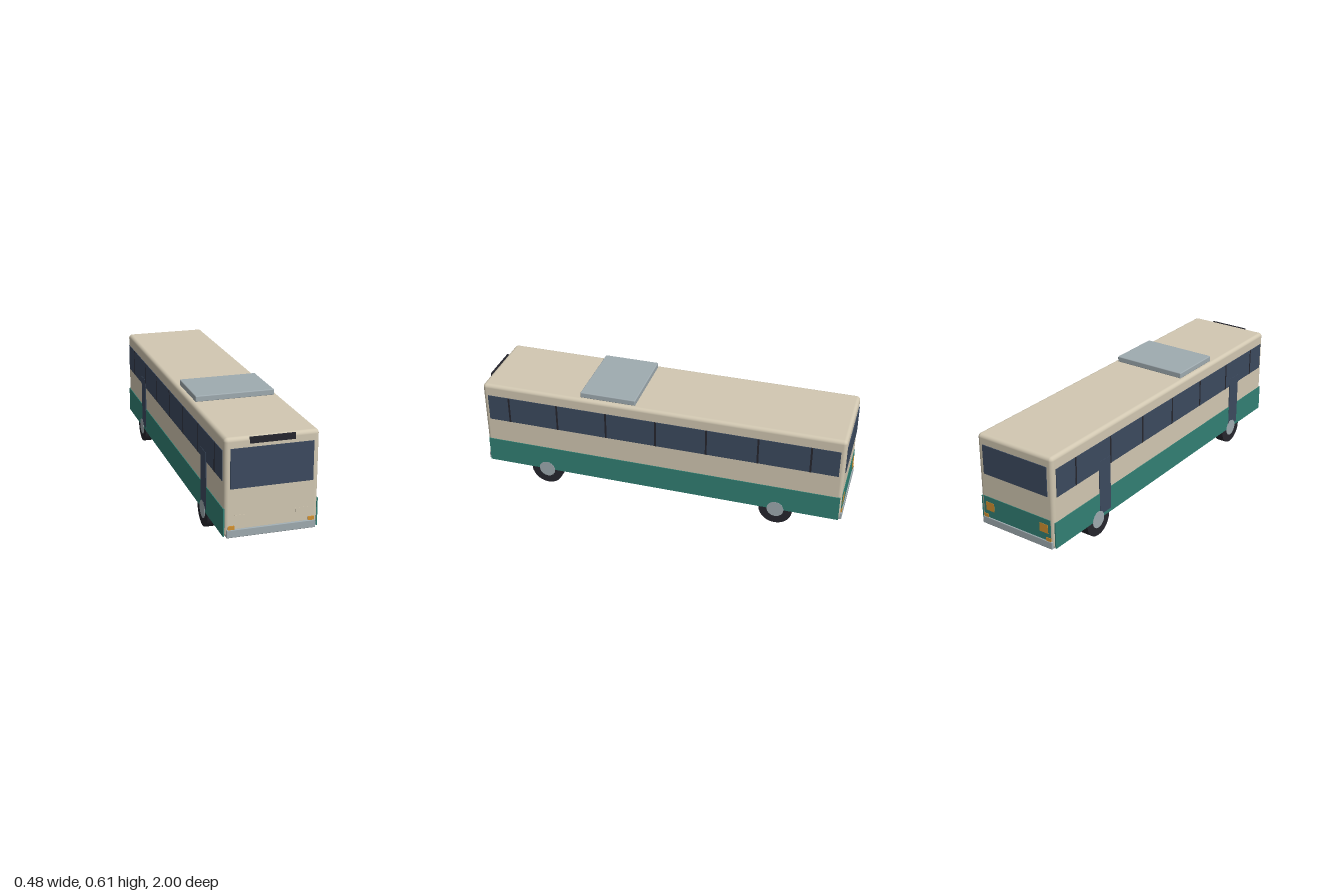
import * as THREE from 'three';
import { RoundedBoxGeometry } from 'three/addons/geometries/RoundedBoxGeometry.js';

const mat = (name, color) => {
  const m = new THREE.MeshStandardMaterial({ color });
  m.name = name;
  return m;
};

export function createModel() {
  const cream = mat('cream paint', 0xd2c8b2);
  const teal = mat('teal paint', 0x328074);
  const glass = mat('dark glass', 0x3c4a5f);
  const black = mat('black rubber', 0x26262e);
  const grey = mat('light grey', 0x9fabb0);
  const amber = mat('amber lamp', 0xd29030);

  const bus = new THREE.Group();
  bus.name = 'bus';

  const add = (name, geometry, material, x, y, z) => {
    const mesh = new THREE.Mesh(geometry, material);
    mesh.name = name;
    mesh.position.set(x, y, z);
    bus.add(mesh);
    return mesh;
  };
  // Box given by its low and high limits on each axis
  const box = (name, material, [x0, x1], [y0, y1], [z0, z1], radius = 0) => {
    const size = [x1 - x0, y1 - y0, z1 - z0];
    const geometry = radius
      ? new RoundedBoxGeometry(...size, 3, radius)
      : new THREE.BoxGeometry(...size);
    return add(name, geometry, material, (x0 + x1) / 2, (y0 + y1) / 2, (z0 + z1) / 2);
  };
  // Thin plate on a long side; s is +1 for left, -1 for right
  const sidePlate = (name, material, s, outer, y, z) =>
    box(name, material, s > 0 ? [0.23, outer] : [-outer, -0.23], y, z);
  // Thin plate on an end; s is +1 for front, -1 for back
  const endPlate = (name, material, s, outer, x, y) =>
    box(name, material, x, y, s > 0 ? [0.988, outer] : [-outer, -0.988]);

  // Shell and roof unit
  box('body', cream, [-0.233, 0.233], [0.086, 0.58], [-0.992, 0.992], 0.02);
  box('roofUnit', grey, [-0.209, 0.209], [0.578, 0.61], [0.13, 0.435], 0.005);

  // Lower stripe, window band and pillars on both sides
  for (const s of [1, -1]) {
    sidePlate('sideStripe', teal, s, 0.2365, [0.09, 0.232], [-0.985, 0.985]);
    sidePlate('sideWindows', glass, s, 0.236, [0.365, 0.515], [-0.965, 0.965]);
    for (let i = -3; i <= 3; i++) {
      const z = 0.013 + i * 0.277;
      sidePlate('windowPillar', black, s, 0.237, [0.365, 0.515], [z - 0.005, z + 0.005]);
    }
  }

  // Doors on the right side only
  for (const z of [-0.59, 0.663]) {
    sidePlate('door', glass, -1, 0.2375, [0.11, 0.41], [z - 0.045, z + 0.045]);
  }

  // Front and back: bumper and corner lamps
  for (const s of [1, -1]) {
    box('bumper', grey, [-0.223, 0.223], [0.086, 0.127],
      s > 0 ? [0.975, 1] : [-1, -0.975], 0.004);
    for (const k of [1, -1]) {
      const x = 0.2 * k;
      endPlate('cornerLamp', amber, s, 0.998, [x - 0.015, x + 0.015], [0.125, 0.145]);
    }
  }

  // Front details
  endPlate('windscreen', glass, 1, 0.996, [-0.205, 0.205], [0.331, 0.529]);
  endPlate('routeSign', black, 1, 0.997, [-0.112, 0.112], [0.547, 0.578]);
  // Back details
  endPlate('rearWindow', glass, -1, 0.996, [-0.2, 0.2], [0.37, 0.528]);
  endPlate('rearPanel', teal, -1, 0.995, [-0.213, 0.213], [0.12, 0.243]);
  for (const k of [1, -1]) {
    endPlate('headlamp', cream, 1, 0.993, [0.152 * k - 0.032, 0.152 * k + 0.032], [0.163, 0.197]);
    endPlate('rearLamp', amber, -1, 0.997, [0.172 * k - 0.026, 0.172 * k + 0.026], [0.167, 0.214]);
  }

  // Wheels: tyre with a slightly wider hub through it
  const tyre = new THREE.CylinderGeometry(0.09, 0.09, 0.056, 24).rotateZ(Math.PI / 2);
  const hub = new THREE.CylinderGeometry(0.046, 0.046, 0.06, 16).rotateZ(Math.PI / 2);
  for (const s of [1, -1]) {
    for (const z of [0.645, -0.65]) {
      add('tyre', tyre, black, s * 0.208, 0.09, z);
      add('wheelHub', hub, grey, s * 0.208, 0.09, z);
    }
  }
  return bus;
}
